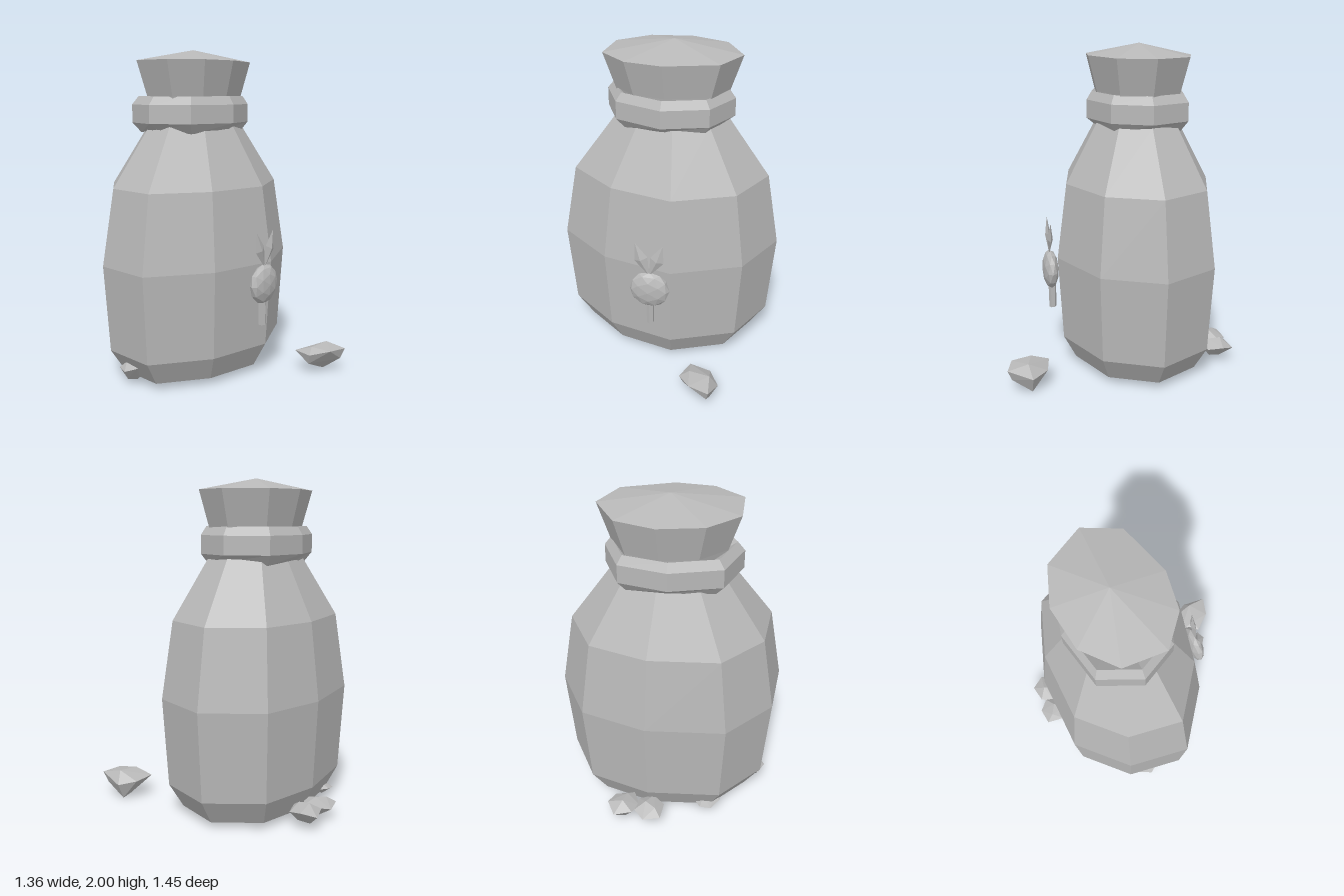
import * as THREE from 'three';
import { ConvexGeometry } from 'three/addons/geometries/ConvexGeometry.js';

const clay = new THREE.MeshStandardMaterial({ color: 0xb8b8b8, flatShading: true });
clay.name = 'plain grey';

function part(name, geometry, parent) {
  const mesh = new THREE.Mesh(geometry, clay);
  mesh.name = name;
  parent.add(mesh);
  return mesh;
}

// Faceted skin over rings of [x, y, z] points, with optional end points as caps.
function loft(rings, bottom, top) {
  const v = [];
  const tri = (a, b, c) => v.push(...a, ...b, ...c);
  const n = rings[0].length;
  for (let i = 0; i < n; i++) {
    const j = (i + 1) % n;
    for (let k = 0; k < rings.length - 1; k++) {
      const a = rings[k], b = rings[k + 1];
      tri(a[i], a[j], b[j]);
      tri(a[i], b[j], b[i]);
    }
    if (bottom) tri(bottom, rings[0][j], rings[0][i]);
    if (top) tri(top, rings.at(-1)[i], rings.at(-1)[j]);
  }
  const g = new THREE.BufferGeometry();
  g.setAttribute('position', new THREE.Float32BufferAttribute(v, 3));
  g.computeVertexNormals();
  return g;
}

// Scales an outline of [x, z] points about the sack's axis at height y.
const CZ = -0.15;
const ring = (outline, y, s) => outline.map(([x, z]) => [x * s, y, CZ + (z - CZ) * s]);

const hull = (points) => new ConvexGeometry(points.map((p) => new THREE.Vector3(...p)));

// Irregular pebble with a flat-ish crown and a pointed underside.
const PEBBLE = [[-1, 0.2, 0.1], [-0.5, 0.5, 0.9], [0.5, 0.1, 1], [1, 0.3, 0], [0.6, 0, -0.8],
  [-0.5, 0.2, -1], [0.2, 1, 0.2], [-0.3, 0.8, -0.4], [0.3, -1, 0.1], [-0.4, -0.8, -0.2]];

export function createModel() {
  const model = new THREE.Group();
  model.name = 'tied sack';

  // Bulging nine-sided body
  const bodyOutline = [[-0.68, 0.03], [-0.34, 0.28], [0.10, 0.37], [0.51, 0.19], [0.68, -0.16],
    [0.50, -0.50], [0.11, -0.63], [-0.36, -0.61], [-0.63, -0.34]];
  const levels = [[0.04, 0.79], [0.19, 0.94], [0.72, 1], [1.18, 0.88], [1.54, 0.5], [1.64, 0.42]];
  part('sackBody', loft(levels.map(([y, s]) => ring(bodyOutline, y, s)),
    [0, 0.04, CZ], [0, 1.64, CZ]), model);

  // Flared mouth above the tie
  const mouthOutline = [[-0.40, -0.02], [-0.23, 0.12], [0, 0.15], [0.31, 0.05], [0.41, -0.16],
    [0.28, -0.39], [0.05, -0.47], [-0.21, -0.43], [-0.39, -0.27]];
  part('sackMouth', loft([ring(mouthOutline, 1.58, 0.74), ring(mouthOutline, 1.72, 0.83),
    ring(mouthOutline, 1.93, 1)], [0, 1.58, CZ], [0, 2, -0.16]), model);

  // Thick eight-sided cord round the neck
  const cordOutline = [[-0.415, -0.15], [-0.30, 0.07], [-0.01, 0.16], [0.26, 0.07], [0.375, -0.15],
    [0.27, -0.39], [-0.01, -0.46], [-0.31, -0.39]];
  const cordLevels = [[1.58, 0.72], [1.51, 0.86], [1.56, 1], [1.67, 1], [1.72, 0.9], [1.67, 0.72]];
  part('neckCord', loft(cordLevels.map(([y, s], k) => ring(cordOutline, y, s)
    .map(([x, py, z], i) => [x, k === 1 ? py + (i % 2 ? -0.01 : 0.015) : py, z]))), model);

  // Turnip badge on the front
  const badge = new THREE.Group();
  badge.name = 'turnipBadge';
  badge.position.set(-0.02, 0, 0.4);
  model.add(badge);
  const bulb = part('turnipBulb', new THREE.IcosahedronGeometry(1, 1), badge);
  bulb.scale.set(0.125, 0.122, 0.05);
  bulb.position.y = 0.61;
  const root = part('turnipRoot', new THREE.CylinderGeometry(0.025, 0.022, 0.18, 6), badge);
  root.position.set(0, 0.445, -0.01);
  for (const s of [-1, 1]) {
    part('turnipLeaf', hull([[0, 0.71, 0.005], [s * 0.09, 0.81, 0.005], [s * 0.085, 0.93, 0.005],
      [s * 0.008, 0.84, 0.005], [s * 0.05, 0.82, 0.022], [s * 0.05, 0.82, -0.012]]), badge);
  }

  // Large loose stone in front
  part('frontStone', hull([[0.255, 0.13, 0.46], [0.21, 0.135, 0.59], [0.29, 0.16, 0.69],
    [0.415, 0.155, 0.725], [0.45, 0.10, 0.58], [0.385, 0.12, 0.485], [0.40, 0.18, 0.60],
    [0.27, 0.17, 0.57], [0.40, 0, 0.58], [0.35, 0.02, 0.56], [0.235, 0.07, 0.57],
    [0.40, 0.09, 0.70]]), model);

  // Small stones at the foot: centre, half size, turn
  const stones = [
    [[0.09, 0.085, -0.64], [0.095, 0.055, 0.095], 0.3],
    [[0.25, 0.09, -0.62], [0.095, 0.065, 0.10], 2.2],
    [[-0.54, 0.085, -0.19], [0.085, 0.065, 0.075], 0],
    [[-0.26, 0.06, -0.5], [0.085, 0.035, 0.075], 1.1],
  ];
  for (const [position, size, turn] of stones) {
    const stone = part('footStone', hull(PEBBLE), model);
    stone.position.set(...position);
    stone.scale.set(...size);
    stone.rotation.y = turn;
  }
  return model;
}
